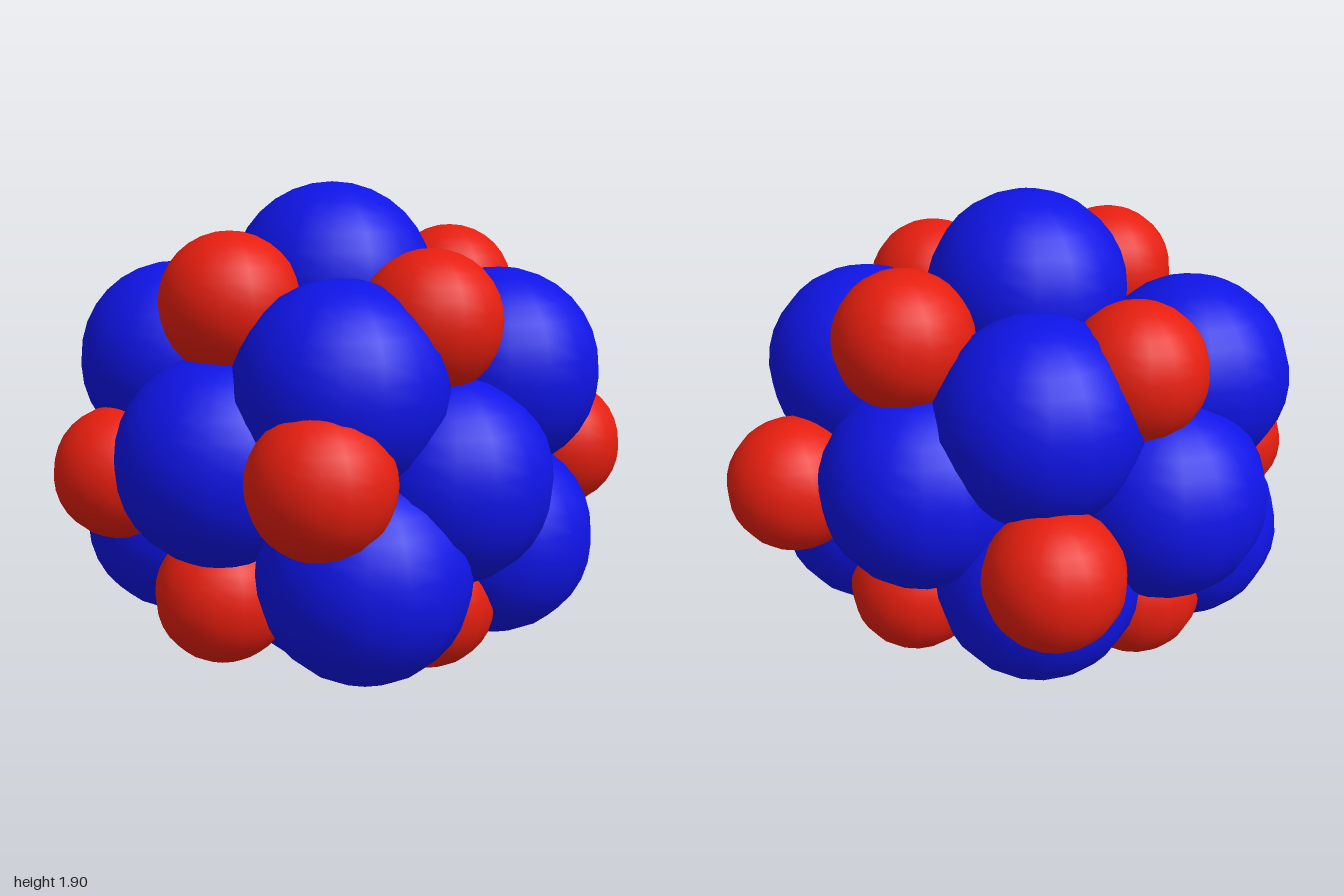
import * as THREE from 'three';

// Cluster of large blue spheres (six axial, eight corner) with small red spheres between them
const CENTRE = [0.04, 0.94, 0.05];

const AXIAL = [
  [0.04, 1.517, 0.05], [0.04, 0.383, 0.045],
  [0.04, 0.93, 0.61], [0.04, 0.93, -0.545],
  [0.617, 0.87, 0.045], [-0.617, 0.87, 0.045],
];

// x of each corner sphere, by height and depth
const CORNERS = [
  { y: 1.21, z: 0.385, xs: [-0.485, 0.425] },
  { y: 1.21, z: -0.32, xs: [-0.32, 0.545] },
  { y: 0.57, z: 0.385, xs: [-0.485, 0.54] },
  { y: 0.57, z: -0.32, xs: [-0.32, 0.545] },
];

const SMALL = [
  // upper ring
  [0.025, 1.485, 0.54], [0.125, 1.465, -0.53], [0.57, 1.43, 0.09], [-0.545, 1.37, -0.05],
  // middle ring
  [-0.45, 0.815, 0.7], [0.575, 0.945, 0.628], [-0.55, 0.745, -0.515], [0.525, 0.853, -0.745],
  // lower ring
  [0, 0.41, 0.575], [0.195, 0.395, -0.45], [0.515, 0.38, 0.02], [-0.5, 0.42, 0.05],
];

export function createModel() {
  const model = new THREE.Group();
  model.name = 'sphereCluster';

  const addSpheres = (name, points, radius, material) => {
    const group = new THREE.Group();
    group.name = name + 's';
    const geometry = new THREE.SphereGeometry(radius, 16, 16);
    points.forEach((p, i) => {
      const mesh = new THREE.Mesh(geometry, material);
      mesh.name = `${name}${i + 1}`;
      mesh.position.set(...p);
      group.add(mesh);
    });
    model.add(group);
  };

  const blue = new THREE.MeshStandardMaterial({ color: 0x0f14e6 });
  const red = new THREE.MeshStandardMaterial({ color: 0xe61e0f });
  const corners = CORNERS.flatMap(({ y, z, xs }) => xs.map((x) => [x, y, z]));

  addSpheres('coreSphere', [CENTRE], 0.383, blue);
  addSpheres('axialSphere', AXIAL, 0.383, blue);
  addSpheres('cornerSphere', corners, 0.383, blue);
  addSpheres('smallSphere', SMALL, 0.256, red);
  return model;
}
